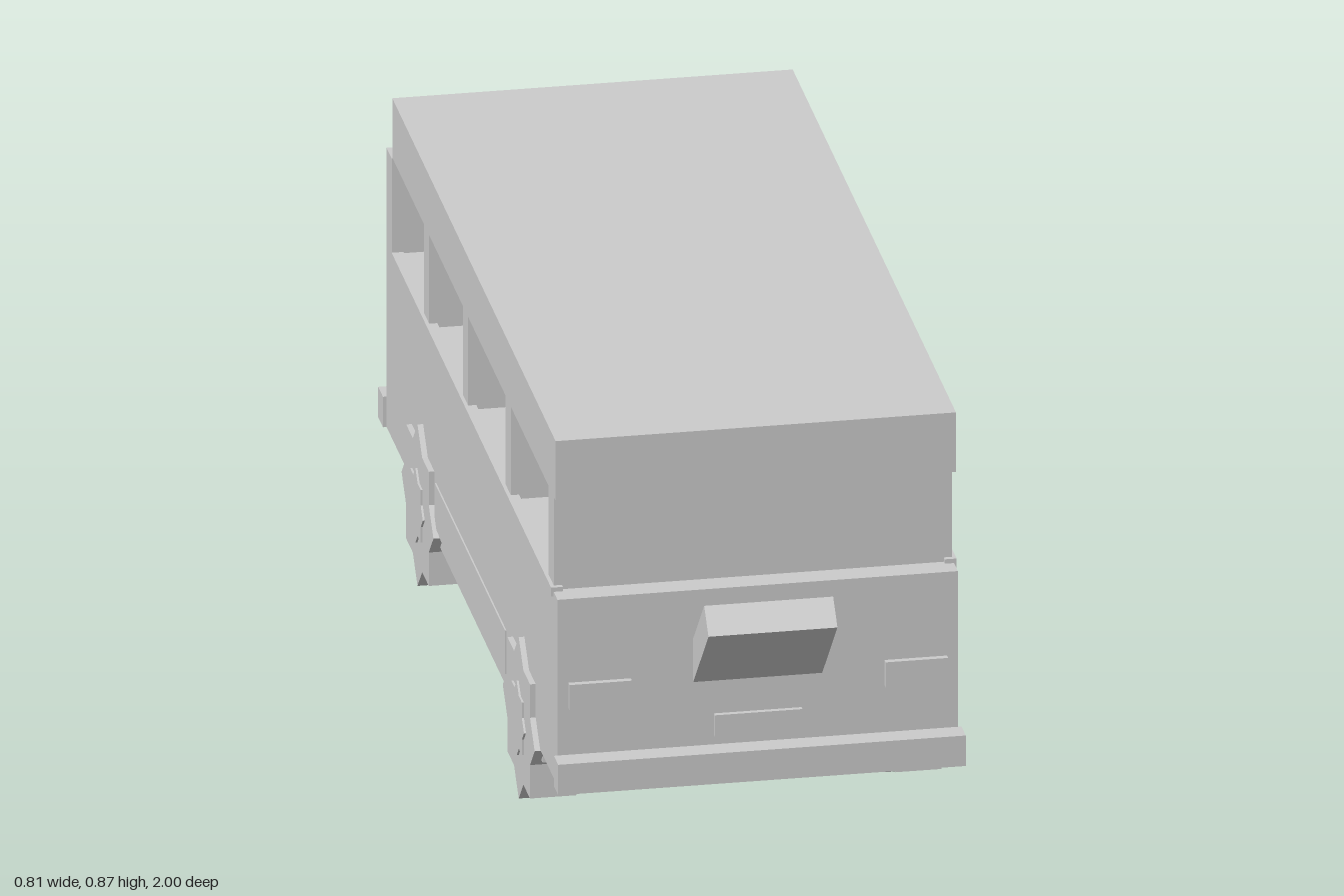
import * as THREE from 'three';

export function createModel() {
  const bus = new THREE.Group();
  bus.name = 'bus';
  const material = new THREE.MeshStandardMaterial({ color: 0xcccccc, flatShading: true });

  const add = (name, geometry) => {
    const mesh = new THREE.Mesh(geometry, material);
    mesh.name = name;
    bus.add(mesh);
    return mesh;
  };

  // Box given by its limits on each axis
  const box = (name, x0, x1, y0, y1, z0, z1) => {
    const mesh = add(name, new THREE.BoxGeometry(x1 - x0, y1 - y0, z1 - z0));
    mesh.position.set((x0 + x1) / 2, (y0 + y1) / 2, (z0 + z1) / 2);
    return mesh;
  };

  // Body, underframe and roof
  box('body', -0.388, 0.388, 0.17, 0.555, -0.95, 0.84);
  box('underframe', -0.38, 0.38, 0.135, 0.17, -0.75, 0.64);
  box('roof', -0.388, 0.388, 0.752, 0.875, -0.89, 0.82);

  // Full-width walls between the windows
  box('frontWall', -0.386, 0.386, 0.555, 0.752, 0.735, 0.79);
  for (const z of [0.312, -0.135, -0.543]) {
    box('partition', -0.386, 0.386, 0.555, 0.752, z - 0.028, z + 0.028);
  }
  box('rearWall', -0.39, 0.39, 0.555, 0.752, -0.94, -0.885);

  // Bumpers
  box('frontBumper', -0.395, 0.395, 0.17, 0.233, 0.84, 0.885);
  box('rearBumper', -0.395, 0.395, 0.17, 0.233, -1, -0.95);

  // Lights, side trim
  for (const s of [-1, 1]) {
    const sided = (name, xa, xb, ...rest) =>
      box(name, Math.min(s * xa, s * xb), Math.max(s * xa, s * xb), ...rest);
    sided('headlight', 0.246, 0.367, 0.33, 0.382, 0.84, 0.852);
    sided('tailLight', 0.243, 0.38, 0.33, 0.385, -0.963, -0.95);
    sided('beltTrim', 0.37, 0.393, 0.546, 0.564, -0.87, 0.8);
    sided('sidePanel', 0.38, 0.391, 0.18, 0.27, -0.43, 0.305);
  }

  // Plates and rear panel
  box('frontPlate', -0.085, 0.085, 0.253, 0.297, 0.84, 0.85);
  box('rearPlate', -0.085, 0.085, 0.255, 0.297, -1, -0.994);
  box('rearPanel', -0.163, 0.163, 0.325, 0.385, -0.963, -0.95);

  // Slanted block on the nose
  const noseBlock = add('noseBlock', new THREE.BoxGeometry(0.25, 0.064, 0.26));
  noseBlock.rotation.x = -Math.PI / 4;
  noseBlock.position.set(0, 0.5475 - 0.13 * Math.SQRT1_2, 0.9775 - 0.13 * Math.SQRT1_2);

  // Eight-pointed star prism lying along x
  const star = (outer, depth) => {
    const inner = outer * Math.cos(Math.PI / 4) / Math.cos(Math.PI / 8);
    const points = [];
    for (let i = 0; i < 16; i++) {
      const r = i % 2 ? inner : outer;
      const a = (i * Math.PI) / 8;
      points.push(new THREE.Vector2(r * Math.cos(a), r * Math.sin(a)));
    }
    const geometry = new THREE.ExtrudeGeometry(new THREE.Shape(points), { depth, bevelEnabled: false });
    return geometry.translate(0, 0, -depth / 2).rotateY(Math.PI / 2);
  };

  // Wheels with hubs
  for (const s of [-1, 1]) {
    for (const z of [0.493, -0.567]) {
      add('wheel', star(0.167, 0.09)).position.set(s * 0.354, 0.168, z);
      add('hub', star(0.077, 0.02)).position.set(s * 0.393, 0.168, z);
    }
  }

  return bus;
}
